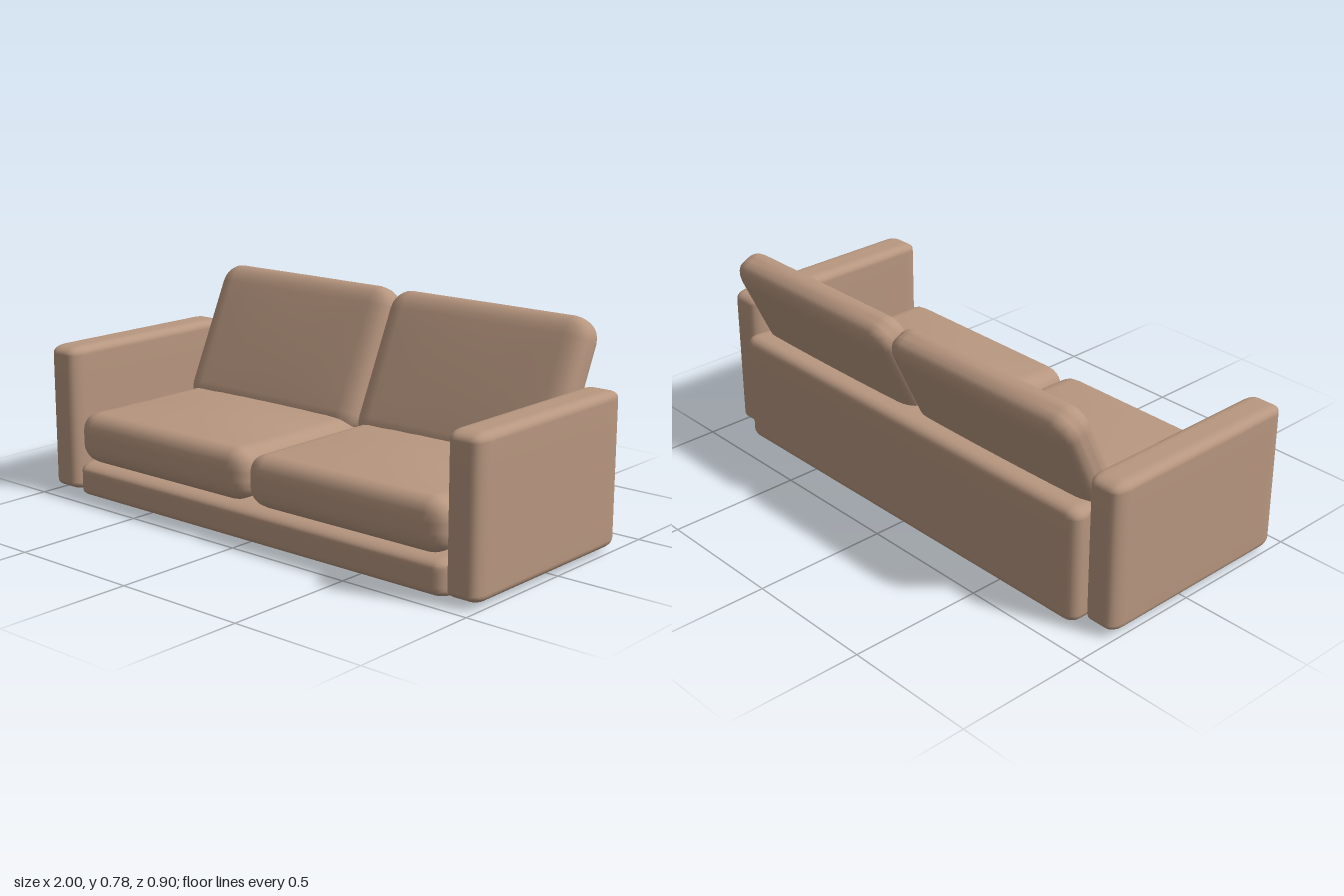
import * as THREE from 'three';
import { mergeVertices } from 'three/addons/utils/BufferGeometryUtils.js';

const fabric = new THREE.MeshStandardMaterial({ color: 0xb89780 });

// Soft box: size, rounding per axis, and an outward bulge per axis
function softBox(size, radius, bulge = [0, 0, 0]) {
  const core = 0.5;
  const geo = new THREE.BoxGeometry(2, 2, 2, 12, 12, 12);
  geo.deleteAttribute('uv');
  geo.deleteAttribute('normal');
  const pos = geo.attributes.position;
  const p = new THREE.Vector3();
  const inner = new THREE.Vector3();
  const dir = new THREE.Vector3();
  const limit = new THREE.Vector3(core, core, core);
  const lowLimit = limit.clone().negate();
  for (let i = 0; i < pos.count; i++) {
    p.fromBufferAttribute(pos, i);
    inner.copy(p).clamp(lowLimit, limit);
    dir.copy(p).sub(inner).normalize();
    const k = inner.divideScalar(core).toArray();
    const d = dir.toArray();
    const out = k.map((t, a) => {
      const b = k[(a + 1) % 3], c = k[(a + 2) % 3];
      const swell = bulge[a] * (1 - b * b) * (1 - c * c) * t;
      return t * (size[a] / 2 - radius[a]) + d[a] * radius[a] + swell;
    });
    pos.setXYZ(i, ...out);
  }
  const soft = mergeVertices(geo, 1e-5);
  soft.computeVertexNormals();
  return soft;
}

function addPart(parent, name, geometry, x, y, z) {
  const mesh = new THREE.Mesh(geometry, fabric);
  mesh.name = name;
  mesh.position.set(x, y, z);
  parent.add(mesh);
  return mesh;
}

export function createModel() {
  const sofa = new THREE.Group();
  sofa.name = 'sofa';

  // Frame: low base and upright back panel
  addPart(sofa, 'base', softBox([1.745, 0.135, 0.67], [0.05, 0.03, 0.08]), 0.003, 0.0675, 0.115);
  addPart(sofa, 'backPanel', softBox([1.745, 0.43, 0.18], [0.05, 0.035, 0.04]), 0.003, 0.22, -0.317);

  // Shared shapes for the mirrored parts
  const arm = softBox([0.135, 0.55, 0.81], [0.035, 0.03, 0.06]);
  const seat = softBox([0.862, 0.19, 0.67], [0.08, 0.07, 0.06], [0, 0.02, 0]);
  const back = softBox([0.862, 0.575, 0.135], [0.08, 0.08, 0.05], [0, 0.003, 0.004]);

  for (const [side, s] of [['left', 1], ['right', -1]]) {
    addPart(sofa, side + 'Arm', arm, s * 0.9325, 0.29, 0.045);
    addPart(sofa, side + 'SeatCushion', seat, s * 0.431 - 0.003, 0.23, 0.11);
    // Back cushion leans backwards behind the seat
    const cushion = addPart(sofa, side + 'BackCushion', back, s * 0.431 - 0.003, 0.513, -0.289);
    cushion.rotation.x = -THREE.MathUtils.degToRad(25);
  }
  return sofa;
}
